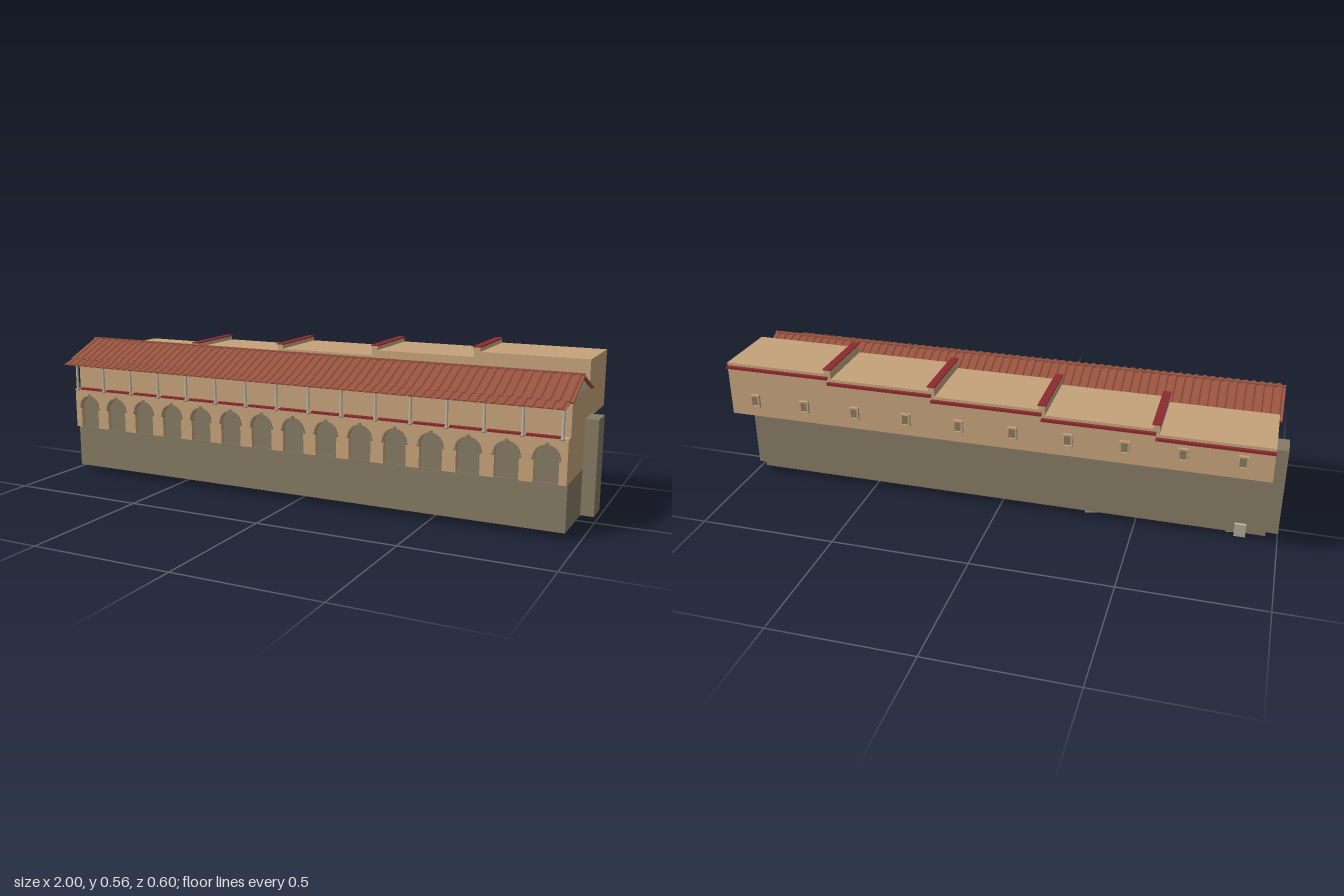
import * as THREE from 'three';

const mat = (name, color) => {
  const m = new THREE.MeshStandardMaterial({ color });
  m.name = name;
  return m;
};

export function createModel() {
  const model = new THREE.Group();
  model.name = 'arcadedGallery';
  const stucco = mat('stucco', 0xc5a27a);
  const stone = mat('stone', 0x847963);
  const red = mat('redTrim', 0x8c2a2e);
  const tile = mat('roofTile', 0x98533f);
  const pale = mat('paleStone', 0xbdb6a5);

  const add = (name, geo, m, parent = model) => {
    const mesh = new THREE.Mesh(geo, m);
    mesh.name = name;
    parent.add(mesh);
    return mesh;
  };
  // Box given by its limits on each axis
  const box = (name, m, x0, x1, y0, y1, z0, z1, parent) => {
    const g = new THREE.BoxGeometry(x1 - x0, y1 - y0, z1 - z0);
    g.translate((x0 + x1) / 2, (y0 + y1) / 2, (z0 + z1) / 2);
    return add(name, g, m, parent);
  };
  const group = (name) => {
    const g = new THREE.Group();
    g.name = name;
    model.add(g);
    return g;
  };
  const W = 0.955;

  // Stone base, backing of the blind arches, and rear wall with its ledge
  box('stoneBase', stone, -W, W, 0.025, 0.182, -0.073, 0.226);
  box('archBacking', stone, -0.95, 0.95, 0.182, 0.32, 0.2, 0.222);
  box('rearWall', stone, -W - 0.003, W + 0.003, 0.025, 0.342, -0.098, -0.05);
  box('rearLedge', stone, -W - 0.005, W + 0.005, 0.34, 0.352, -0.107, -0.05);
  for (const s of [-1, 1]) {
    const x = [s * 0.95, s].sort((a, b) => a - b);
    box('endButtress', stone, x[0], x[1], 0.025, 0.352, -0.073, 0.016);
  }

  // Main body
  box('mainBody', stucco, -W, W, 0.182, 0.454, -0.05, 0.21);

  // Arcade wall with fifteen arched openings
  const arches = Array.from({ length: 15 }, (_, i) => (i - 7) * 0.127);
  const r = 0.04, spring = 0.262;
  const wall = new THREE.Shape();
  wall.moveTo(-W, 0.182);
  for (const cx of arches) {
    wall.lineTo(cx - r, 0.182);
    wall.lineTo(cx - r, spring);
    wall.absarc(cx, spring, r, Math.PI, 0, true);
    wall.lineTo(cx + r, 0.182);
  }
  wall.lineTo(W, 0.182);
  wall.lineTo(W, 0.33);
  wall.lineTo(-W, 0.33);
  const wallGeo = new THREE.ExtrudeGeometry(wall, { depth: 0.03, bevelEnabled: false, curveSegments: 12 });
  add('arcadeWall', wallGeo.translate(0, 0, 0.21), stucco);

  // Arch rings, imposts and keystones
  const ring = new THREE.Shape();
  ring.absarc(0, 0, r + 0.005, 0, Math.PI, false);
  ring.absarc(0, 0, r, Math.PI, 0, true);
  const ringGeo = new THREE.ExtrudeGeometry(ring, { depth: 0.004, bevelEnabled: false, curveSegments: 12 });
  const trim = group('archTrim');
  for (const cx of arches) {
    add('archRing', ringGeo, stone, trim).position.set(cx, spring, 0.2385);
    box('keystone', stone, cx - 0.005, cx + 0.005, 0.302, 0.313, 0.235, 0.2435, trim);
    for (const s of [-1, 1]) {
      const x = cx + s * (r + 0.002);
      box('impost', stone, x - 0.005, x + 0.005, 0.256, 0.263, 0.235, 0.2435, trim);
    }
  }

  // Gallery columns, rails and lintel
  const column = new THREE.LatheGeometry([
    [0, 0], [0.007, 0], [0.007, 0.007], [0.0048, 0.01], [0.0055, 0.03], [0.0042, 0.092],
    [0.0068, 0.096], [0.0072, 0.107], [0, 0.107],
  ].map(([x, y]) => new THREE.Vector2(x, y)), 10);
  const gallery = group('gallery');
  for (let i = 0; i < 16; i++) {
    const x = (i - 7.5) * 0.125;
    add('column', column, pale, gallery).position.set(x, 0.326, 0.246);
    if (i < 15) box('rail', red, x + 0.008, x + 0.117, 0.329, 0.336, 0.227, 0.243, gallery);
  }
  box('lintel', pale, -0.95, 0.95, 0.432, 0.437, 0.236, 0.257, gallery);

  // Gable ends
  const gable = new THREE.Shape([[0.208, 0.454], [0.1, 0.502], [-0.008, 0.454]].map(([z, y]) => new THREE.Vector2(-z, y)));
  const gableGeo = new THREE.ExtrudeGeometry(gable, { depth: 2 * W, bevelEnabled: false });
  add('gable', gableGeo.rotateY(Math.PI / 2).translate(-W, 0, 0), pale);

  // Ribbed tile slope running down along +z from the origin
  const slope = (half, length, thick, angle) => {
    const n = 64, step = (2 * half) / n, s = new THREE.Shape();
    s.moveTo(-half, -thick);
    s.lineTo(half, -thick);
    for (let i = n; i > 0; i--) {
      const x = -half + i * step;
      s.lineTo(x, -0.002);
      s.lineTo(x - step * 0.3, -0.002);
      s.lineTo(x - step * 0.45, 0.002);
      s.lineTo(x - step * 0.85, 0.002);
    }
    s.lineTo(-half, -0.002);
    return new THREE.ExtrudeGeometry(s, { depth: length, bevelEnabled: false }).rotateX(angle);
  };
  const roof = group('tiledRoof');
  const pitch = Math.atan2(0.061, 0.146);
  add('frontSlope', slope(0.965, 0.159, 0.007, pitch), tile, roof).position.set(0, 0.51, 0.1);
  const back = add('backSlope', slope(0.965, 0.159, 0.007, pitch), tile, roof);
  back.position.set(0, 0.51, 0.1);
  back.rotation.y = Math.PI;
  add('eave', slope(W, 0.056, 0.003, 0.29), tile, roof).position.set(0, 0.45, 0.244);
  box('ridge', tile, -0.965, 0.965, 0.503, 0.514, 0.095, 0.105, roof);

  // Rear upper storey: five sections stepping down, parting walls and cornices
  const upper = group('upperStorey');
  const edges = [-W, -0.575, -0.195, 0.19, 0.57, W];
  for (let i = 0; i < 5; i++) {
    const x0 = edges[i], x1 = edges[i + 1], top = 0.463 + i * 0.0192;
    box('section', stucco, x0, x1, 0.342, top, -0.285, -0.028, upper);
    box('cornice', red, x0, x1, top - 0.019, top - 0.01, -0.297, -0.284, upper);
    if (i < 4) {
      box('partingWall', stucco, x1 - 0.011, x1 + 0.011, 0.4, top + 0.034, -0.284, -0.029, upper);
      box('partingCap', red, x1 - 0.014, x1 + 0.014, top + 0.034, top + 0.038, -0.288, -0.025, upper);
    }
  }

  // Rear windows: frame around a dark panel
  const windows = group('rearWindows');
  for (let i = 0; i < 10; i++) {
    const x = (i - 4.5) * 0.1905;
    box('windowPanel', stone, x - 0.012, x + 0.012, 0.386, 0.422, -0.288, -0.284, windows);
    for (const s of [-1, 1]) {
      const c = x + s * 0.014;
      box('windowJamb', stucco, c - 0.003, c + 0.003, 0.38, 0.427, -0.295, -0.284, windows);
    }
    box('windowSill', stucco, x - 0.011, x + 0.011, 0.38, 0.386, -0.295, -0.284, windows);
    box('windowHead', stucco, x - 0.011, x + 0.011, 0.421, 0.427, -0.295, -0.284, windows);
  }

  // Rough slabs under the base: x, z, width, depth, bottom height, turn
  const rocks = group('footingRocks');
  const slabs = [
    [-0.855, -0.01, 0.12, 0.12, 0.004, 0.3], [-0.65, 0, 0.09, 0.09, 0.003, -0.2],
    [-0.335, -0.02, 0.08, 0.1, 0, 0.25], [-0.205, 0.01, 0.12, 0.07, 0.009, -0.3],
    [0.045, 0, 0.11, 0.1, 0.01, 0.3], [0.42, 0.01, 0.08, 0.09, 0.004, -0.25],
    [0.79, 0, 0.14, 0.11, 0.014, 0.15],
  ];
  for (const [x, z, w, d, y, turn] of slabs) {
    const h = 0.03 - y;
    const g = new THREE.BoxGeometry(w, h, d), p = g.attributes.position;
    for (let i = 0; i < p.count; i++) {
      if (p.getY(i) < 0) p.setXYZ(i, p.getX(i) * 0.82, p.getY(i), p.getZ(i) * 0.88);
    }
    g.computeVertexNormals();
    const rock = add('rock', g, pale, rocks);
    rock.position.set(x, y + h / 2, z);
    rock.rotation.y = turn;
  }
  const shard = box('rockShard', pale, -0.02, 0.02, 0, 0.055, -0.004, 0.004, rocks);
  shard.position.set(-0.87, 0.008, -0.094);
  shard.rotation.x = -0.15;

  return model;
}
